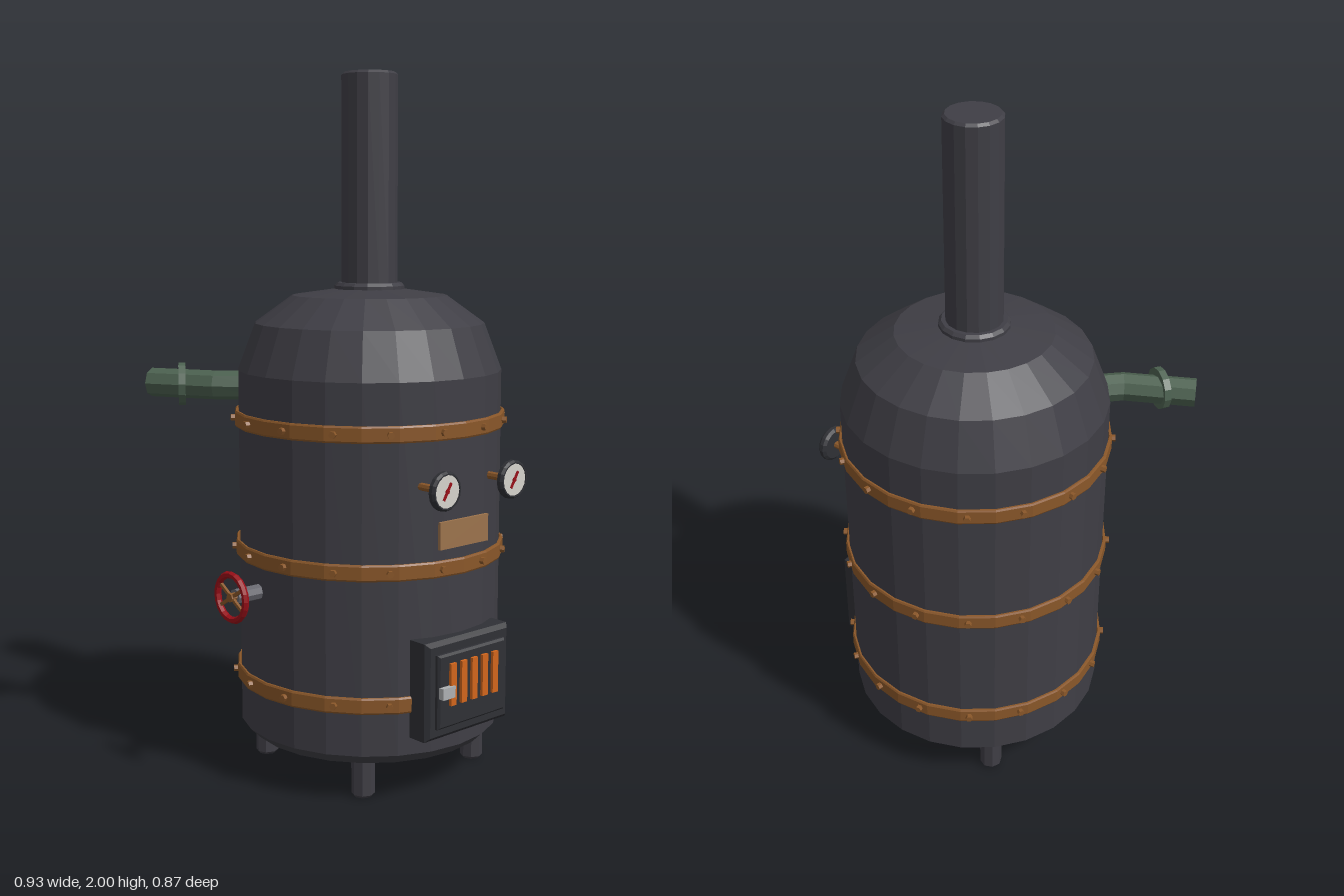
import * as THREE from 'three';

const material = (name, color) => {
  const m = new THREE.MeshStandardMaterial({ color, flatShading: true });
  m.name = name;
  return m;
};

export function createModel() {
  const iron = material('dark iron', 0x3f3e45);
  const black = material('black iron', 0x2f3035);
  const bronze = material('bronze', 0x8a5729);
  const brass = material('brass plate', 0x9c734c);
  const green = material('green copper', 0x4c6150);
  const red = material('red paint', 0x9a0f18);
  const glow = material('fire orange', 0xd2661c);
  const white = material('dial white', 0xd6d3cc);
  const steel = material('steel', 0x66666e);
  const silver = material('silver', 0xaeb0b2);

  const model = new THREE.Group();
  model.name = 'boiler';
  const CX = 0.013, CZ = -0.043;

  const add = (parent, name, geo, mat, x = 0, y = 0, z = 0) => {
    const mesh = new THREE.Mesh(geo, mat);
    mesh.name = name;
    mesh.position.set(x, y, z);
    parent.add(mesh);
    return mesh;
  };
  const group = (parent, name, x = 0, y = 0, z = 0) => {
    const g = new THREE.Group();
    g.name = name;
    g.position.set(x, y, z);
    parent.add(g);
    return g;
  };
  const lathe = (points, sides) =>
    new THREE.LatheGeometry(points.map(([r, y]) => new THREE.Vector2(r, y)), sides);
  const rodX = (r, length, sides) =>
    new THREE.CylinderGeometry(r, r, length, sides).rotateZ(-Math.PI / 2);
  // Bevelled slab facing +x, its back on x = 0
  const slab = (depth, height, width, bevel) => {
    const w = width / 2 - bevel, h = height / 2 - bevel;
    const shape = new THREE.Shape([[-w, -h], [w, -h], [w, h], [-w, h]].map(p => new THREE.Vector2(...p)));
    return new THREE.ExtrudeGeometry(shape, {
      depth: depth - 2 * bevel, bevelEnabled: true, bevelThickness: bevel, bevelSize: bevel, bevelSegments: 1,
    }).translate(0, 0, bevel).rotateY(Math.PI / 2);
  };

  // Tank with domed top, and chimney
  const body = group(model, 'body', CX, 0, CZ);
  add(body, 'tank', lathe([
    [0, 0.11], [0.35, 0.11], [0.38, 0.14], [0.38, 1.167], [0.33, 1.3], [0.222, 1.378], [0.09, 1.397], [0, 1.397],
  ], 24), iron);
  add(body, 'chimney', lathe([
    [0.1, 1.38], [0.1, 1.405], [0.092, 1.414], [0.08, 1.414], [0.08, 1.993], [0.073, 2], [0, 2],
  ], 16), iron);

  // Riveted bands
  for (const y of [0.285, 0.655, 1.03]) {
    const band = group(body, 'band', 0, y, 0);
    add(band, 'hoop', lathe([
      [0.383, -0.023], [0.388, -0.023], [0.391, -0.018], [0.391, 0.018], [0.388, 0.023], [0.383, 0.023], [0.383, -0.023],
    ], 24), bronze);
    for (let i = 0; i < 16; i++) {
      const a = (i + 0.5) * Math.PI / 8;
      const rivet = add(band, 'rivet', rodX(0.01, 0.02, 6), bronze, 0.391 * Math.cos(a), 0, 0.391 * Math.sin(a));
      rivet.rotation.y = -a;
    }
  }

  // Legs
  for (const sx of [-1, 1]) for (const sz of [-1, 1]) {
    add(body, 'leg', lathe([[0, 0], [0.026, 0], [0.033, 0.008], [0.033, 0.12]], 8), iron, sx * 0.217, 0, sz * 0.217);
  }

  // Firebox with door, grate and latch
  const firebox = group(model, 'firebox', 0, 0.328, CZ);
  add(firebox, 'frame', slab(0.08, 0.276, 0.322, 0.012), black, 0.346);
  add(firebox, 'door', slab(0.04, 0.208, 0.262, 0.006), black, 0.4);
  for (let i = -2; i <= 2; i++) {
    add(firebox, 'grateBar', new THREE.BoxGeometry(0.012, 0.118, 0.021), glow, 0.443, 0.018, i * 0.041);
  }
  add(firebox, 'latch', new THREE.BoxGeometry(0.018, 0.032, 0.046), silver, 0.446, 0, 0.105);

  // Maker's plate, left blank
  add(model, 'plate', new THREE.BoxGeometry(0.009, 0.076, 0.186), brass, 0.398, 0.749, CZ);

  // Pressure gauges
  for (const side of [-1, 1]) {
    const gauge = group(model, 'gauge', 0, 0.886, CZ + side * 0.13);
    add(gauge, 'stem', rodX(0.011, 0.09, 8), bronze, 0.4);
    add(gauge, 'casing', lathe([
      [0, 0], [0.045, 0], [0.054, 0.007], [0.054, 0.018], [0.049, 0.025], [0.045, 0.025], [0.045, 0.019], [0, 0.019],
    ], 16).rotateZ(-Math.PI / 2), black, 0.441);
    add(gauge, 'dial', rodX(0.045, 0.004, 16), white, 0.461);
    const needle = add(gauge, 'needle', new THREE.BoxGeometry(0.003, 0.052, 0.008), red, 0.464);
    needle.rotation.x = -0.55;
    add(gauge, 'needleHub', rodX(0.007, 0.004, 8), red, 0.464);
  }

  // Valve handwheel
  const valve = group(model, 'valve', -0.033, 0.56, 0);
  add(valve, 'stem', new THREE.CylinderGeometry(0.022, 0.022, 0.11, 8).rotateX(Math.PI / 2), steel, 0, 0, 0.36);
  add(valve, 'wheelRim', new THREE.TorusGeometry(0.064, 0.01, 6, 20), red, 0, 0, 0.426);
  for (const a of [-0.55, 0.55]) {
    const spoke = add(valve, 'spoke', new THREE.BoxGeometry(0.125, 0.009, 0.008), bronze, 0, 0, 0.426);
    spoke.rotation.z = a;
  }
  add(valve, 'hub', new THREE.CylinderGeometry(0.013, 0.013, 0.02, 8).rotateX(Math.PI / 2), bronze, 0, 0, 0.424);

  // Bent outlet pipe: cylinder rows moved onto a mitred path
  const path = [[-0.17, 0.21], [-0.264, 0.302], [-0.449, 0.398]].map(([x, z]) => new THREE.Vector3(x, 0, z));
  const first = path[1].clone().sub(path[0]).normalize();
  const last = path[2].clone().sub(path[1]).normalize();
  const dirs = [first, first.clone().add(last).normalize(), last];
  const up = new THREE.Vector3(0, 1, 0);
  const pipeGeo = new THREE.CylinderGeometry(0.042, 0.042, 2, 8, 2);
  const pos = pipeGeo.attributes.position;
  for (let i = 0; i < pos.count; i++) {
    const row = Math.round(pos.getY(i) + 1);
    const side = dirs[row].clone().cross(up);
    const v = path[row].clone().addScaledVector(side, pos.getX(i)).addScaledVector(up, pos.getZ(i));
    pos.setXYZ(i, v.x, v.y, v.z);
  }
  pipeGeo.computeVertexNormals();
  const outlet = group(model, 'outlet', 0, 1.12, 0);
  add(outlet, 'pipe', pipeGeo, green);
  const flange = add(outlet, 'flange', new THREE.CylinderGeometry(0.062, 0.062, 0.02, 12), green, -0.353, 0, 0.358);
  flange.quaternion.setFromUnitVectors(up, new THREE.Vector3(-0.57, 0, 0.82).normalize());

  return model;
}
